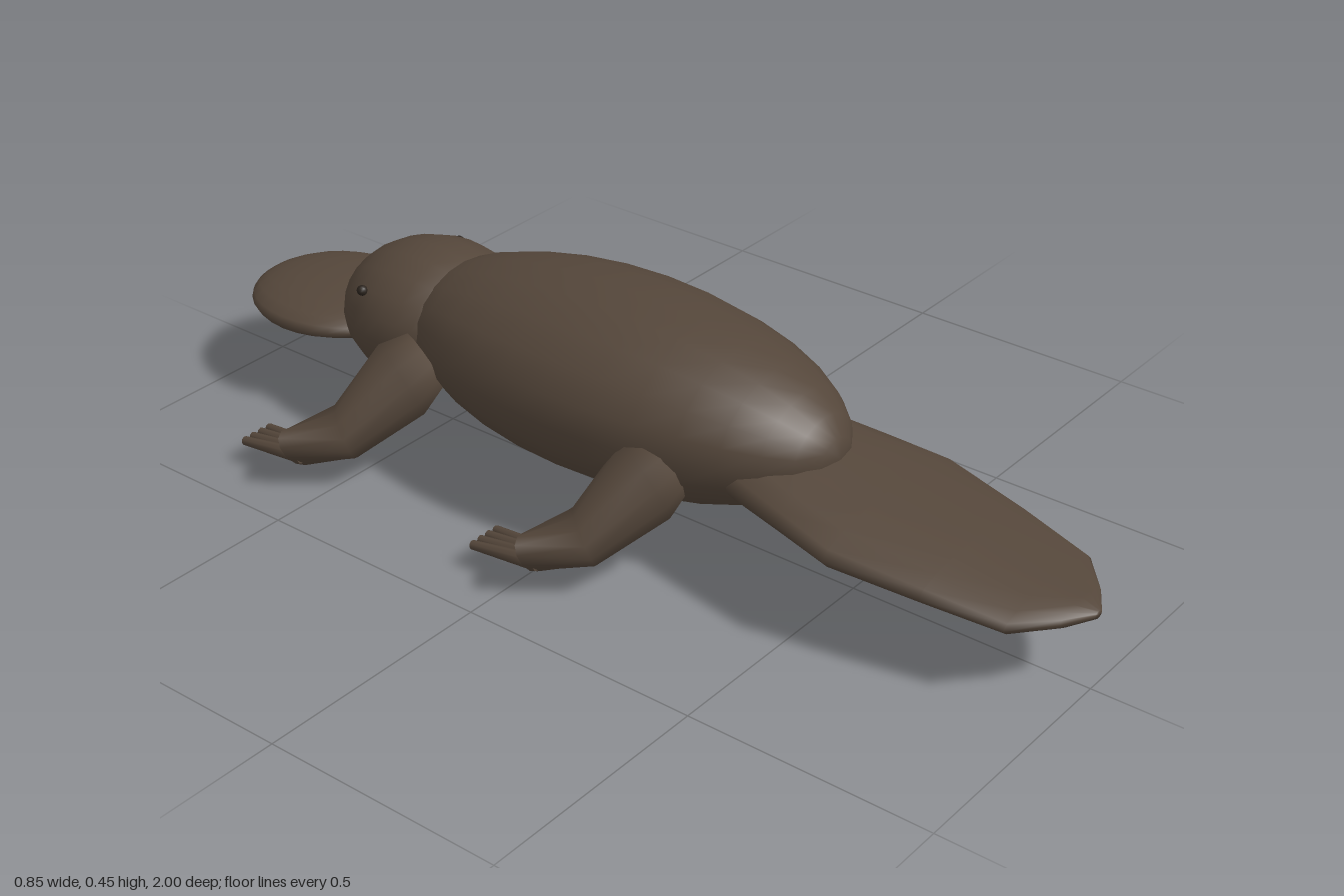
import * as THREE from 'three';

const fur = new THREE.MeshStandardMaterial({ color: 0x54463a });
fur.name = 'brown fur';
const legFur = new THREE.MeshStandardMaterial({ color: 0x54463a, side: THREE.DoubleSide });
legFur.name = 'brown fur, open shell';
const dark = new THREE.MeshStandardMaterial({ color: 0x2a231d });
dark.name = 'dark eye';

function mesh(name, geometry, material) {
  const m = new THREE.Mesh(geometry, material);
  m.name = name;
  return m;
}

// Ellipsoid whose poles lie along z
function ellipsoid(name, center, radii, material = fur, around = 20, along = 16) {
  const geo = new THREE.SphereGeometry(1, around, along).rotateX(Math.PI / 2);
  geo.scale(...radii);
  const m = mesh(name, geo, material);
  m.position.set(...center);
  return m;
}

// Skin over elliptical rings { c: centre, u, v: half axes }, with optional end caps
function loft(rings, sides, capStart, capEnd) {
  const pos = [], index = [];
  for (const { c, u, v } of rings) {
    for (let j = 0; j < sides; j++) {
      const a = (j / sides) * Math.PI * 2, cs = Math.cos(a), sn = Math.sin(a);
      for (let k = 0; k < 3; k++) pos.push(c[k] + cs * u[k] + sn * v[k]);
    }
  }
  for (let i = 0; i < rings.length - 1; i++) {
    for (let j = 0; j < sides; j++) {
      const a = i * sides + j, b = i * sides + (j + 1) % sides;
      index.push(a, b, a + sides, b, b + sides, a + sides);
    }
  }
  const cap = (ring, flip) => {
    const mid = pos.length / 3, base = ring * sides;
    pos.push(...rings[ring].c);
    for (let j = 0; j < sides; j++) {
      const a = base + j, b = base + (j + 1) % sides;
      index.push(mid, flip ? b : a, flip ? a : b);
    }
  };
  if (capStart) cap(0, true);
  if (capEnd) cap(rings.length - 1, false);
  const geo = new THREE.BufferGeometry();
  geo.setAttribute('position', new THREE.Float32BufferAttribute(pos, 3));
  geo.setIndex(index);
  geo.computeVertexNormals();
  return geo;
}

// Leg rings: buried hip, shoulder, ankle, open flared cuff
const legGeo = loft([
  { c: [0.15, 0.23, 0.185], u: [0.03, 0.058, 0], v: [0.022, -0.01, 0.06] },
  { c: [0.2, 0.2, 0.165], u: [0.04, 0.077, 0], v: [0.03, -0.015, 0.075] },
  { c: [0.295, 0.103, 0.1], u: [0.04, 0.038, 0.02], v: [0.03, -0.03, 0.05] },
  { c: [0.352, 0.063, 0.017], u: [0.07, 0.06, 0.025], v: [0.025, -0.02, 0.02] },
], 12, true, false);

function toe(i) {
  const t = i / 3 - 0.5;
  const from = new THREE.Vector3(0.35 + t * 0.04, 0.062, 0.05);
  const to = new THREE.Vector3(0.352 + t * 0.066, 0.05, -0.098);
  const dir = to.clone().sub(from);
  const m = mesh('toe', new THREE.CylinderGeometry(0.009, 0.016, dir.length(), 8), fur);
  m.position.copy(from).add(to).multiplyScalar(0.5);
  m.quaternion.setFromUnitVectors(new THREE.Vector3(0, 1, 0), dir.normalize());
  return m;
}

function leg(name, side, z) {
  const g = new THREE.Group();
  g.name = name;
  g.add(mesh('limb', legGeo, legFur));
  for (let i = 0; i < 4; i++) g.add(toe(i));
  g.position.z = z;
  g.scale.x = side;
  return g;
}

export function createModel() {
  const model = new THREE.Group();
  model.name = 'platypus';

  model.add(ellipsoid('body', [0, 0.265, -0.05], [0.245, 0.187, 0.51]));
  model.add(ellipsoid('head', [0, 0.245, -0.53], [0.177, 0.146, 0.2]));
  model.add(ellipsoid('bill', [0, 0.192, -0.81], [0.175, 0.044, 0.19]));

  // Flat paddle tail: z, half width, bottom, top
  const tail = [
    [0.2, 0.13, 0.18, 0.3], [0.34, 0.165, 0.166, 0.285], [0.45, 0.188, 0.16, 0.265],
    [0.57, 0.212, 0.15, 0.243], [0.75, 0.18, 0.14, 0.213], [0.9, 0.147, 0.13, 0.185],
    [0.965, 0.07, 0.136, 0.178], [1, 0.012, 0.15, 0.165],
  ].map(([z, w, lo, hi]) => ({ c: [0, (lo + hi) / 2, z], u: [w, 0, 0], v: [0, (hi - lo) / 2, 0] }));
  model.add(mesh('tail', loft(tail, 16, true, true), fur));

  for (const side of [1, -1]) {
    const label = side > 0 ? 'left' : 'right';
    model.add(ellipsoid(label + 'Eye', [side * 0.143, 0.325, -0.597], [0.011, 0.011, 0.011], dark, 10, 8));
    model.add(leg(label + 'FrontLeg', side, -0.61));
    model.add(leg(label + 'BackLeg', side, 0));
  }
  return model;
}
